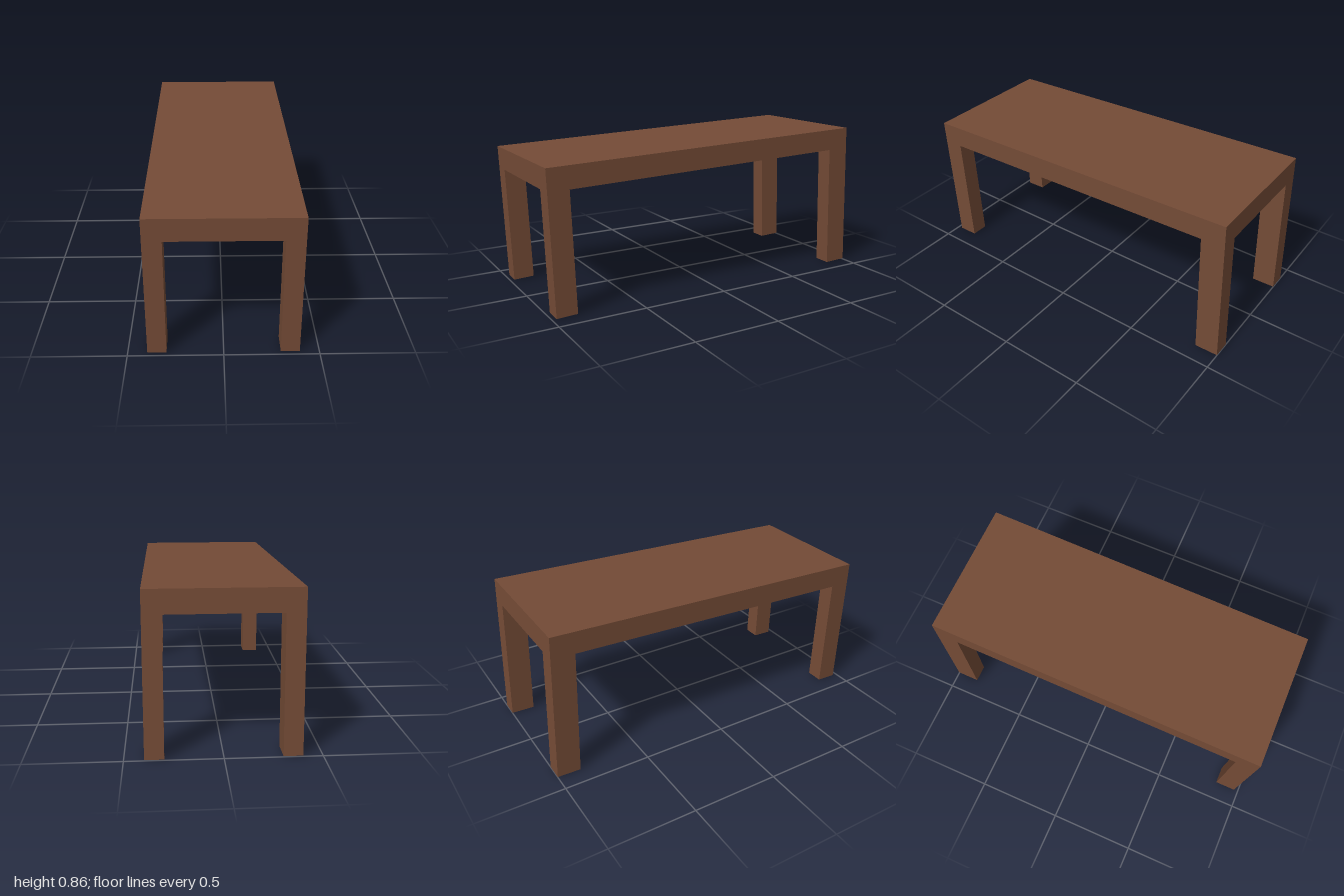
import * as THREE from 'three';

const WIDTH = 0.796, LENGTH = 1.974, THICK = 0.125, LEG_WIDTH = 0.1, TILT = 0.0324;

export function createModel() {
  const wood = new THREE.MeshStandardMaterial({ color: 0x744b36 });
  wood.name = 'brown wood';

  const model = new THREE.Group();
  model.name = 'table';

  // Tilted frame with its origin on the front top edge
  const frame = new THREE.Group();
  frame.name = 'tiltedFrame';
  frame.position.set(0, 0.798, 1);
  frame.rotation.x = TILT;
  model.add(frame);

  function addBox(name, w, h, d, x, y, z) {
    const mesh = new THREE.Mesh(new THREE.BoxGeometry(w, h, d), wood);
    mesh.name = name;
    mesh.position.set(x, y, z);
    frame.add(mesh);
  }

  // Thick top
  addBox('tableTop', WIDTH, THICK, LENGTH, 0, -THICK / 2, -LENGTH / 2);

  // Legs, flush with the corners; the back pair is longer and deeper
  const frontLength = 0.798, frontDepth = 0.12;
  const backLength = 0.858, backDepth = 0.135;
  for (const side of [1, -1]) {
    const label = side > 0 ? 'Left' : 'Right';
    const x = side * (WIDTH - LEG_WIDTH) / 2;
    addBox('front' + label + 'Leg', LEG_WIDTH, frontLength - THICK, frontDepth,
      x, -(frontLength + THICK) / 2, -frontDepth / 2);
    addBox('back' + label + 'Leg', LEG_WIDTH, backLength - THICK, backDepth,
      x, -(backLength + THICK) / 2, -LENGTH + backDepth / 2);
  }
  return model;
}
